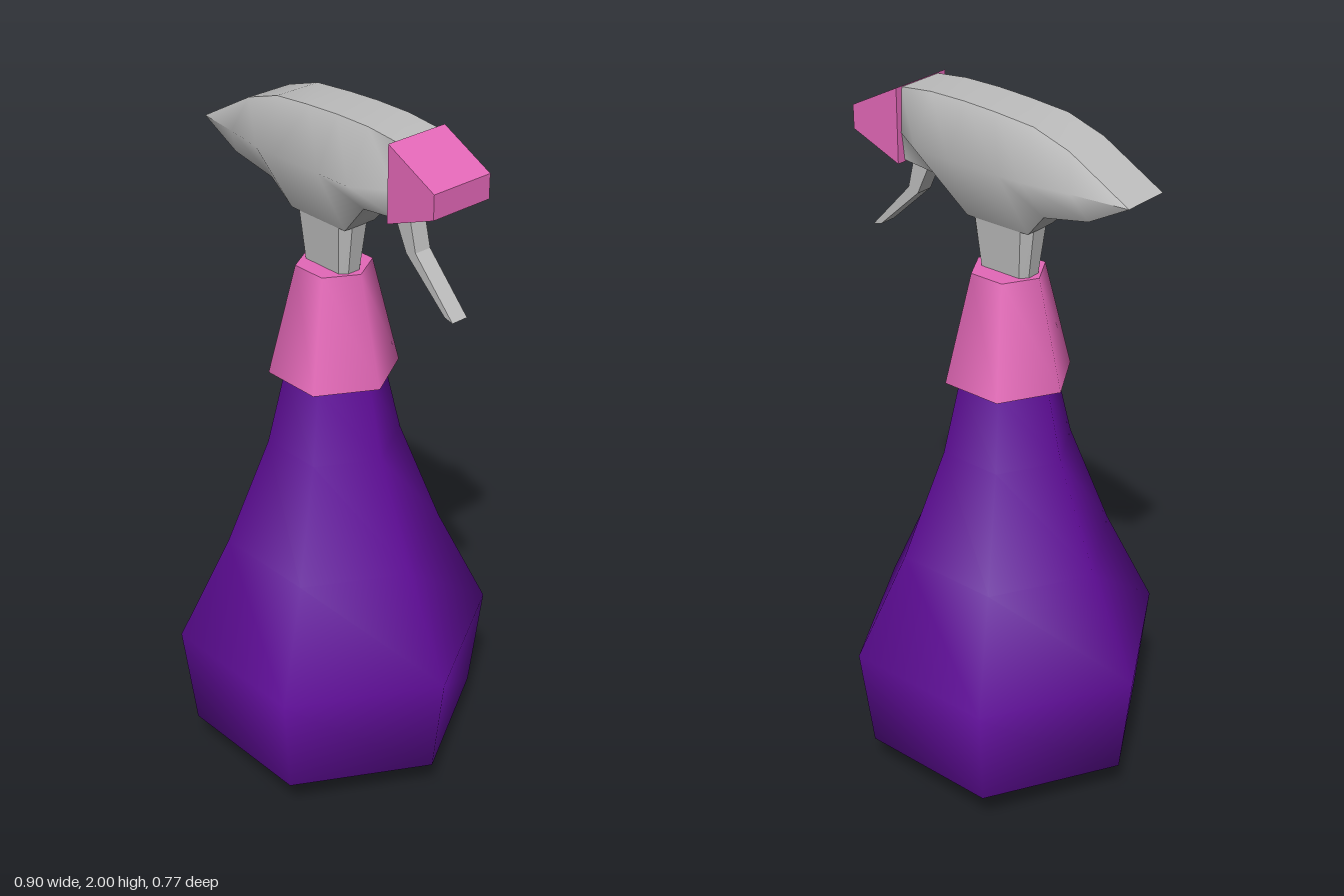
import * as THREE from 'three';

const purple = new THREE.MeshStandardMaterial({ color: 0x620d9c });
purple.name = 'purple';
const pink = new THREE.MeshStandardMaterial({ color: 0xe468b8 });
pink.name = 'pink';
const grey = new THREE.MeshStandardMaterial({ color: 0xbdbdbd });
grey.name = 'grey';

function part(name, geometry, material) {
  const mesh = new THREE.Mesh(geometry, material);
  mesh.name = name;
  return mesh;
}

// Six-sided turned form with corners on the x axis
function hexLathe(points) {
  return new THREE.LatheGeometry(points.map(([r, y]) => new THREE.Vector2(r, y)), 6, Math.PI / 2);
}

// Smooth surface through rows of points; separate strips meet in a sharp edge
function strip(rows) {
  const n = rows[0].length, index = [];
  for (let r = 0; r < rows.length - 1; r++) {
    for (let i = 0; i < n - 1; i++) {
      const a = r * n + i, c = a + n;
      index.push(a, c, c + 1, a, c + 1, a + 1);
    }
  }
  const geo = new THREE.BufferGeometry();
  geo.setAttribute('position', new THREE.Float32BufferAttribute(rows.flat(2), 3));
  geo.setIndex(index);
  geo.computeVertexNormals();
  return geo;
}

// Side outline in x, y given a constant width in z
function slab(points, width) {
  const shape = new THREE.Shape(points.map(([x, y]) => new THREE.Vector2(x, y)));
  return new THREE.ExtrudeGeometry(shape, { depth: width, bevelEnabled: false }).translate(0, 0, -width / 2);
}

function makeHead() {
  const head = new THREE.Group();
  head.name = 'sprayHead';
  // Long edges of the shell from tail to nozzle: x, y, half width
  const top = [[-0.43, 1.85, 0.068], [-0.25, 1.95, 0.068], [-0.14, 1.985, 0.068], [-0.02, 1.995, 0.068],
    [0.08, 2, 0.068], [0.19, 2, 0.068], [0.29, 1.99, 0.068]];
  const mid = [[-0.43, 1.85, 0.068], [-0.28, 1.86, 0.103], [-0.15, 1.865, 0.132], [-0.08, 1.865, 0.132],
    [0.08, 1.865, 0.132], [0.19, 1.865, 0.132], [0.29, 1.87, 0.075]];
  const low = [[-0.43, 1.85, 0.068], [-0.31, 1.785, 0.066], [-0.17, 1.757, 0.064], [-0.11, 1.69, 0.05],
    [0.09, 1.69, 0.05], [0.17, 1.78, 0.062], [0.29, 1.795, 0.066]];
  const mirror = (row) => row.map(([x, y, z]) => [x, y, -z]);
  head.add(
    part('headTop', strip([mirror(top), top]), grey),
    part('headFrontSide', strip([top, mid, low]), grey),
    part('headUnderside', strip([low, mirror(low)]), grey),
    part('headBackSide', strip([mirror(low), mirror(mid), mirror(top)]), grey)
  );

  // Chamfered neck narrowing into the collar
  const ring = (y, a, b, h, k) => [[-a, h], [a, h], [b, k], [b, -k], [a, -h], [-a, -h], [-b, -k], [-b, k]]
    .map(([x, z]) => [x - 0.009, y, z]);
  const bottom = ring(1.53, 0.06, 0.076, 0.036, 0.018);
  const upper = ring(1.7, 0.075, 0.1, 0.049, 0.025);
  for (let i = 0; i < 8; i++) {
    const j = (i + 1) % 8;
    head.add(part('neckSide', strip([[bottom[i], upper[i]], [bottom[j], upper[j]]]), grey));
  }
  head.position.z = 0.003;
  return head;
}

export function createModel() {
  const model = new THREE.Group();
  model.name = 'sprayBottle';

  const bottle = part('bottle', hexLathe([[0, 0], [0.24, 0], [0.41, 0.125], [0.446, 0.43],
    [0.302, 0.73], [0.183, 1.04], [0.135, 1.25], [0.1, 1.4]]), purple);
  bottle.position.x = -0.006;

  // Collar wall with flat ends
  const collar = new THREE.Group();
  collar.name = 'collar';
  collar.add(
    part('collarWall', hexLathe([[0.177, 1.25], [0.102, 1.555]]), pink),
    part('collarUnderside', hexLathe([[0, 1.25], [0.177, 1.25]]), pink),
    part('collarTop', hexLathe([[0.102, 1.555], [0, 1.555]]), pink)
  );
  collar.position.x = -0.008;

  const nozzle = part('nozzle', slab([[0.287, 1.79], [0.441, 1.85], [0.441, 1.915], [0.287, 1.993]], 0.186), pink);
  nozzle.position.z = 0.005;

  const trigger = part('trigger', slab([[0.23, 1.8], [0.283, 1.69], [0.42, 1.566], [0.447, 1.56],
    [0.315, 1.7], [0.29, 1.8]], 0.05), grey);
  trigger.position.z = 0.003;

  model.add(bottle, collar, makeHead(), nozzle, trigger);
  return model;
}
